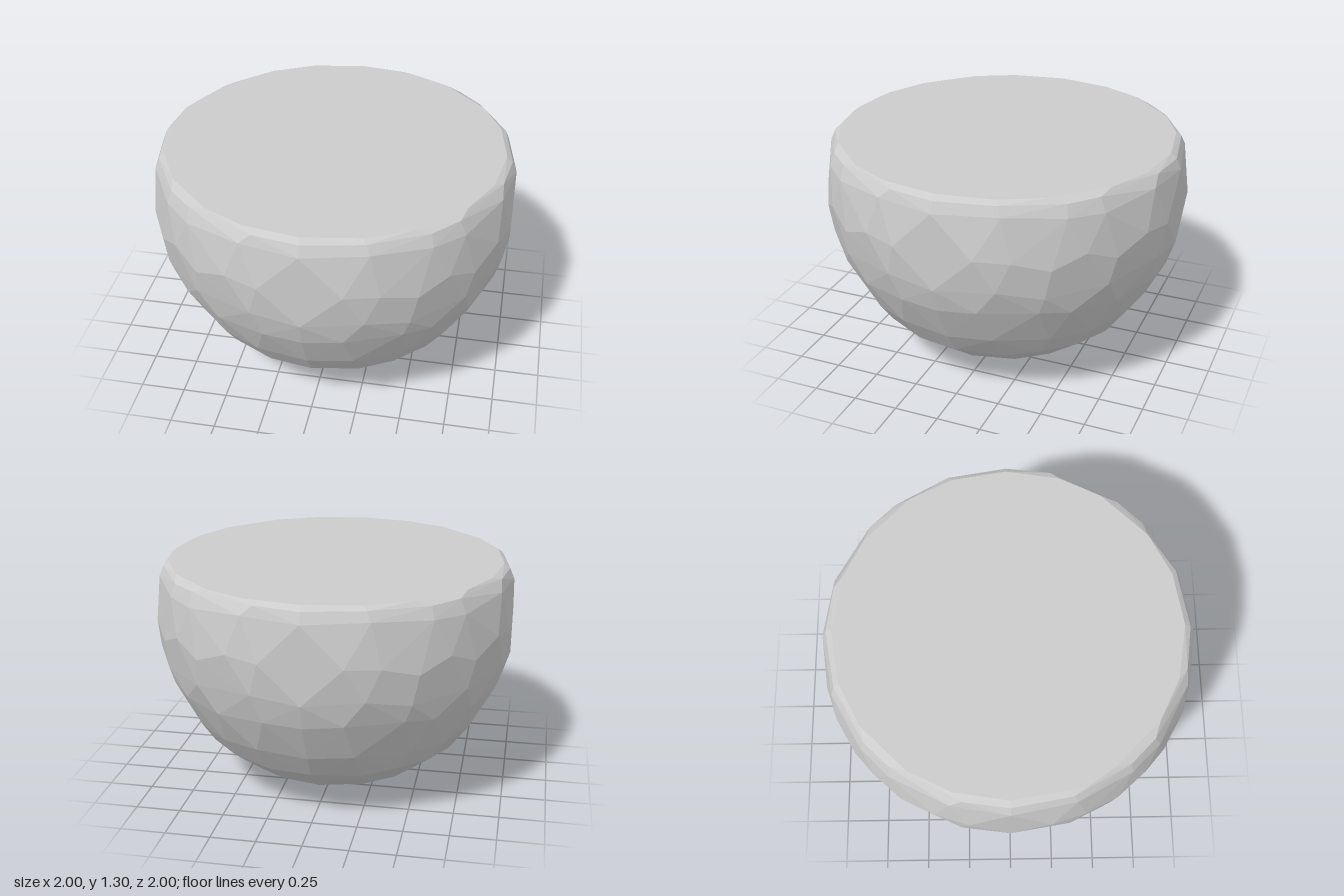
import * as THREE from 'three';
import { ConvexGeometry } from 'three/addons/geometries/ConvexGeometry.js';

// Small seeded generator, returns -1..1
function makeRandom(seed) {
  return () => {
    seed = (seed * 16807) % 2147483647;
    return (seed / 2147483647) * 2 - 1;
  };
}

// Rings up the bowl: height, sphere radius about y = 1, points per quarter, height jitter
const RINGS = [
  [0, 1.033, 4, 0],
  [0.12, 1.027, 4, 0.015],
  [0.29, 1.03, 5, 0.03],
  [0.43, 1.019, 5, 0.03],
  [0.65, 1.018, 6, 0.035],
  [0.79, 1.022, 5, 0.03],
  [1.22, 1.022, 5, 0.02],
  [1.28, 1.012, 5, 0.008],
  [1.305, 0.988, 5, 0],
];

// Angles of the widest ring in degrees, leaving a flat facet on each axis
const WAIST = [12.4, 23, 34.6, 45, 55.4, 67, 77.6];

function bowlPoints() {
  const random = makeRandom(4711);
  const points = [];
  // One point repeated in all four quarters, flattened at the sides
  const addQuarters = (y, radius, angle) => {
    const r = Math.sqrt(radius * radius - (y - 1) ** 2);
    for (let q = 0; q < 4; q++) {
      const a = angle + (q * Math.PI) / 2;
      points.push(new THREE.Vector3(
        THREE.MathUtils.clamp(r * Math.sin(a), -1, 1),
        y,
        THREE.MathUtils.clamp(r * Math.cos(a), -1, 1)));
    }
  };
  for (const [y, radius, n, jitter] of RINGS) {
    const step = Math.PI / 2 / n;
    for (let i = 0; i < n; i++) {
      // Points on the axes stay put, the others are scattered
      const loose = i === 0 ? 0 : 1;
      addQuarters(y + loose * jitter * random(), radius, (i + loose * 0.2 * random()) * step);
    }
  }
  WAIST.forEach((deg, i) => {
    const dy = i === 0 || i === WAIST.length - 1 ? 0 : 0.07 * random();
    addQuarters(1 + dy, 1.022, THREE.MathUtils.degToRad(deg));
  });
  return points;
}

export function createModel() {
  const group = new THREE.Group();
  group.name = 'facetedStone';

  // Chipped round body with a flat foot and a flat, slightly bevelled top
  const material = new THREE.MeshStandardMaterial({ color: 0xcccccc, flatShading: true });
  const body = new THREE.Mesh(new ConvexGeometry(bowlPoints()), material);
  body.name = 'stoneBody';
  group.add(body);
  return group;
}
